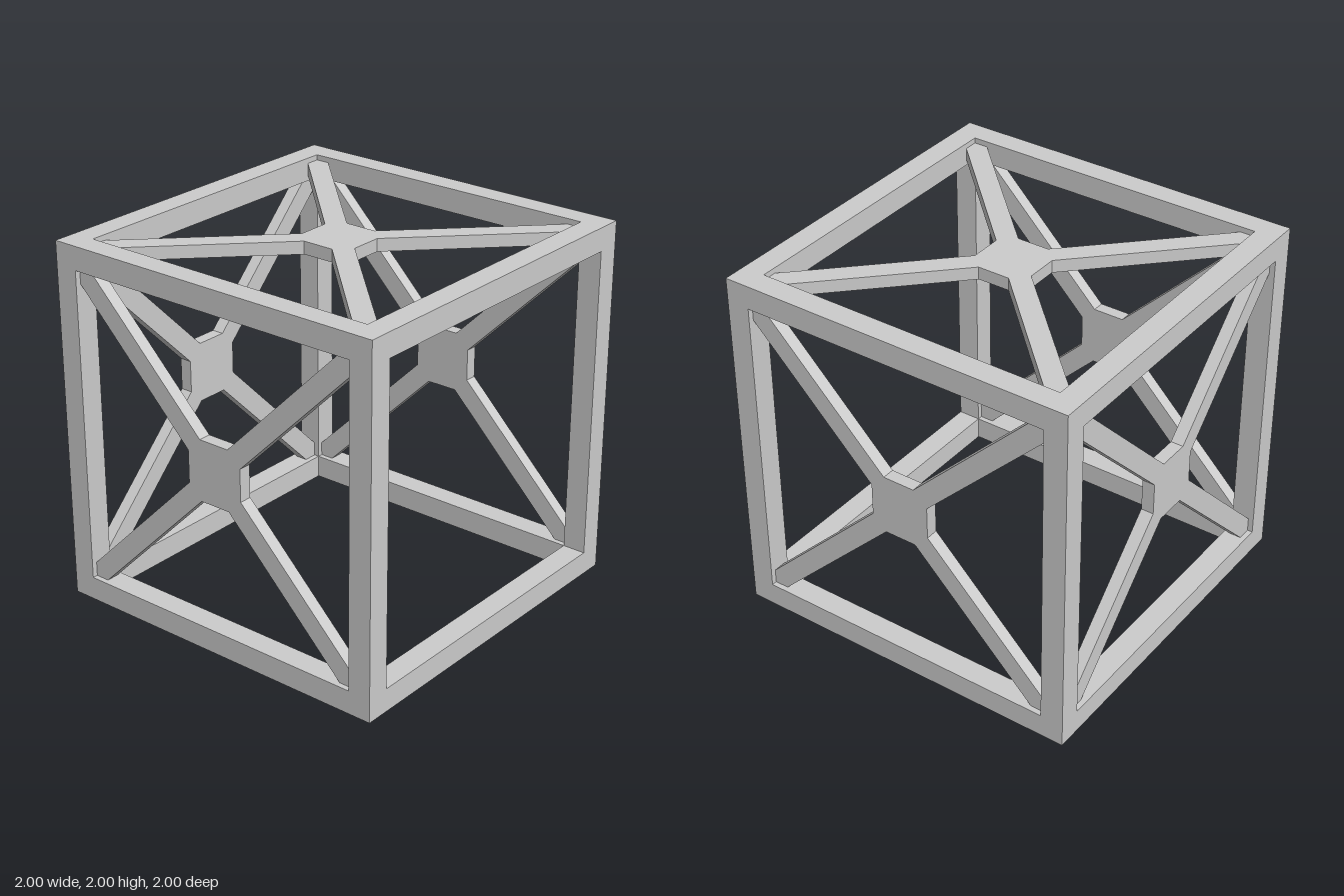
import * as THREE from 'three';

const HALF = 1;          // half the cube edge
const BEAM = 0.13;       // beam section
const MID = HALF - BEAM / 2;
const PLATE = 0.07;      // brace thickness

// Flat X brace with a square hub, lying in the xy plane
function braceGeometry() {
  const hub = 0.17, cut = 0.09, tip = 0.9, off = 0.08;
  const quadrant = [[hub, cut], [tip, tip - off], [tip, tip], [tip - off, tip], [cut, hub]];
  const points = [];
  for (let q = 0; q < 4; q++) {
    for (const [x, y] of quadrant) {
      points.push(new THREE.Vector2(x, y).rotateAround(new THREE.Vector2(), q * Math.PI / 2));
    }
  }
  const geometry = new THREE.ExtrudeGeometry(new THREE.Shape(points), { depth: PLATE, bevelEnabled: false });
  return geometry.translate(0, 0, -PLATE / 2);
}

export function createModel() {
  const model = new THREE.Group();
  model.name = 'bracedCubeFrame';
  const material = new THREE.MeshStandardMaterial({ color: 0xcccccc, flatShading: true });

  const add = (name, geometry, x, y, z) => {
    const mesh = new THREE.Mesh(geometry, material);
    mesh.name = name;
    mesh.position.set(x, y + HALF, z);
    model.add(mesh);
    return mesh;
  };

  // Twelve square beams: full-height posts with rails fitted between them
  const span = 2 * (HALF - BEAM);
  const post = new THREE.BoxGeometry(BEAM, 2 * HALF, BEAM);
  const railX = new THREE.BoxGeometry(span, BEAM, BEAM);
  const railZ = new THREE.BoxGeometry(BEAM, BEAM, span);
  for (const a of [-MID, MID]) {
    for (const b of [-MID, MID]) {
      add('cornerPost', post, a, 0, b);
      add('crossRail', railX, 0, a, b);
      add('sideRail', railZ, a, b, 0);
    }
  }

  // X braces on four faces; one side and the underside stay open
  const brace = braceGeometry();
  add('frontBrace', brace, 0, 0, MID);
  add('backBrace', brace, 0, 0, -MID);
  add('sideBrace', brace, -MID, 0, 0).rotation.y = Math.PI / 2;
  add('topBrace', brace, 0, MID, 0).rotation.x = Math.PI / 2;

  return model;
}
